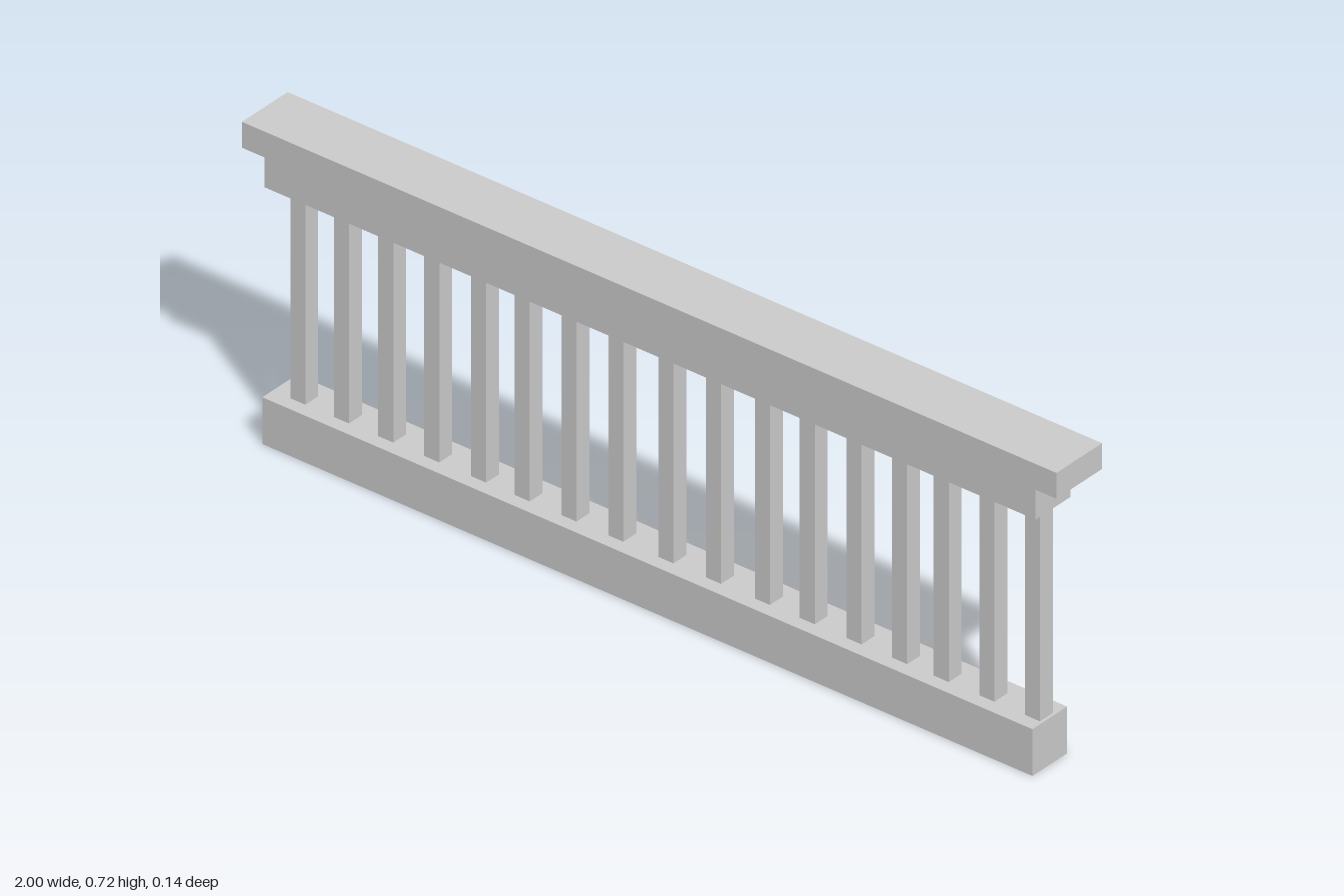
import * as THREE from 'three';

export function createModel() {
  const group = new THREE.Group();
  const material = new THREE.MeshStandardMaterial({ color: 0xcccccc, flatShading: true });

  // Box given by its extents along each axis
  function beam(name, [x0, x1], [y0, y1], [z0, z1]) {
    const mesh = new THREE.Mesh(new THREE.BoxGeometry(x1 - x0, y1 - y0, z1 - z0), material);
    mesh.position.set((x0 + x1) / 2, (y0 + y1) / 2, (z0 + z1) / 2);
    mesh.name = name;
    group.add(mesh);
  }

  // Horizontal rails
  beam('bottomRail', [-0.963, 0.928], [0, 0.105], [-0.052, 0.053]);
  beam('upperRail', [-0.957, 0.936], [0.579, 0.659], [-0.052, 0.053]);
  beam('handrailCap', [-1, 1], [0.659, 0.717], [-0.069, 0.069]);

  // Balusters, slightly unevenly spaced
  const centres = [-0.901, -0.794, -0.685, -0.572, -0.457, -0.35, -0.235, -0.12, 0.003,
    0.12, 0.24, 0.35, 0.465, 0.577, 0.679, 0.791, 0.903];
  const half = 0.0185;
  centres.forEach((x, i) =>
    beam(`baluster${i + 1}`, [x - half, x + half], [0.1, 0.584], [-0.017, 0.022]));

  return group;
}
